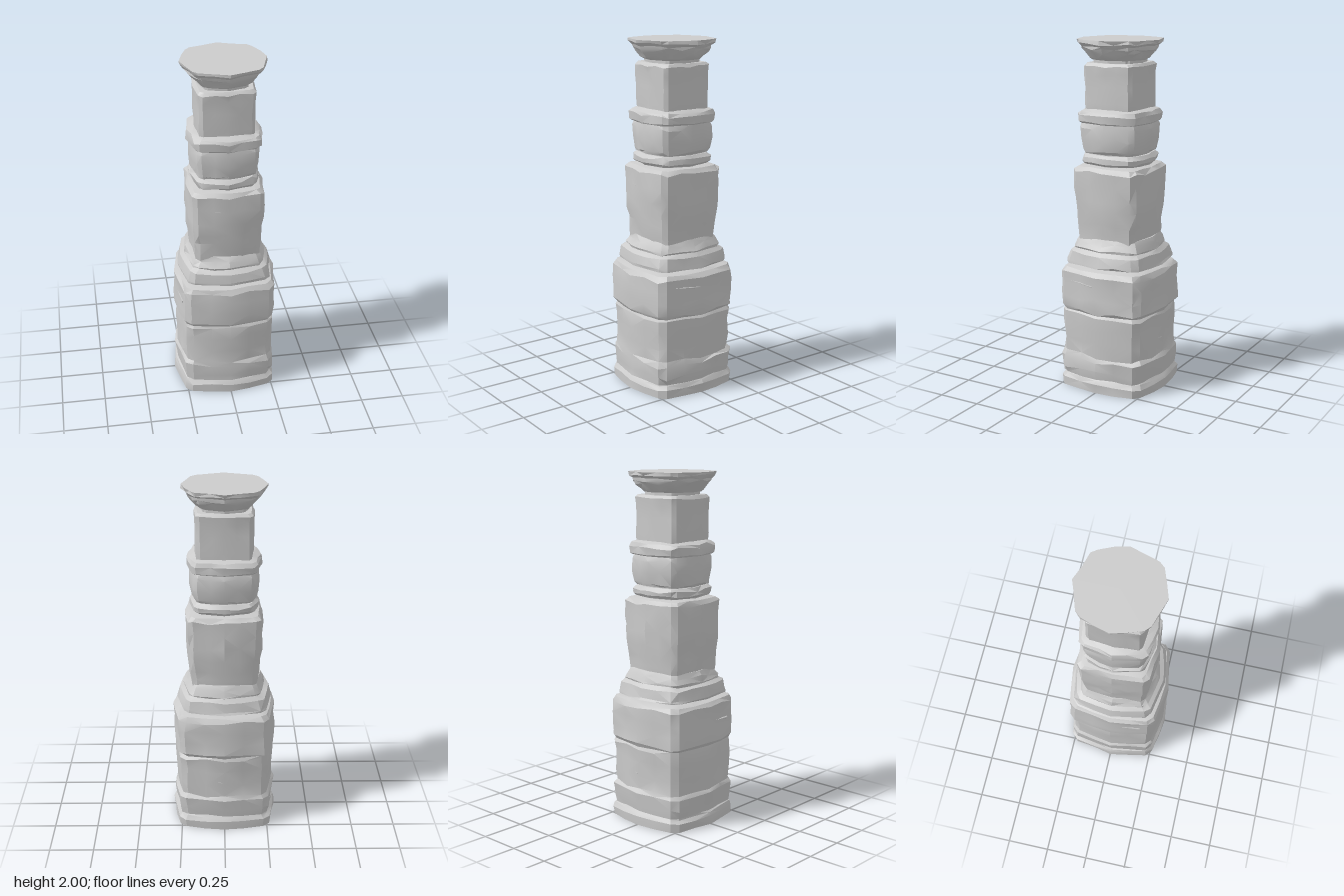
import * as THREE from 'three';
import { toCreasedNormals } from 'three/addons/utils/BufferGeometryUtils.js';

// Small seeded noise in the range -1..1
let seed = 7;
const noise = () => {
  seed = (seed * 16807) % 2147483647;
  return (seed / 2147483647) * 2 - 1;
};

const material = new THREE.MeshStandardMaterial({ color: 0xcccccc });

// Square outline with bowed faces and cut corners; k sets how far the corners reach
function outline(r, k) {
  const a = k + 0.04, b = k - 0.08;
  const quarter = [[1, 0], [1 + (a - 1) * 0.45, b * 0.5], [a, b], [b, a], [1 + (a - 1) * 0.45, b * 0.5].reverse()];
  const points = [];
  for (let q = 0; q < 4; q++) {
    for (const [u, v] of quarter) {
      const [x, z] = [[u, v], [-v, u], [-u, -v], [v, -u]][q];
      points.push([x * r, z * r]);
    }
  }
  return points;
}

// Closed, worn stone block lofted through rings of [y, radius]
function stone(name, k, rings, wear = 0.006) {
  const pos = [], index = [], n = 20, last = rings.length - 1;
  rings.forEach(([y, r], i) => {
    const end = i === 0 || i === last;
    const gap = Math.min(
      i > 0 ? y - rings[i - 1][0] : 1,
      i < last ? rings[i + 1][0] - y : 1
    );
    const lift = end ? 0 : Math.min(0.014, gap * 0.4);
    for (const [x, z] of outline(r, k)) {
      const s = 1 + (noise() * wear) / r;
      pos.push(x * s, y + noise() * lift, z * s);
    }
  });
  for (let i = 0; i < last; i++) {
    for (let j = 0; j < n; j++) {
      const a = i * n + j, b = i * n + (j + 1) % n, c = a + n, d = b + n;
      if ((i + j) % 2) index.push(a, c, b, b, c, d);
      else index.push(a, c, d, a, d, b);
    }
  }
  // End caps
  const bottom = pos.length / 3, top = bottom + 1;
  pos.push(0, rings[0][0], 0, 0, rings[last][0], 0);
  for (let j = 0; j < n; j++) {
    const m = (j + 1) % n;
    index.push(bottom, j, m, top, last * n + m, last * n + j);
  }
  const geometry = new THREE.BufferGeometry();
  geometry.setAttribute('position', new THREE.Float32BufferAttribute(pos, 3));
  geometry.setIndex(index);
  const mesh = new THREE.Mesh(toCreasedNormals(geometry, 0.4), material);
  mesh.name = name;
  return mesh;
}

export function createModel() {
  const pillar = new THREE.Group();
  pillar.name = 'weatheredPillar';
  pillar.add(
    // Wide plinth and the two big lower blocks
    stone('basePlinth', 0.83, [[0, 0.3], [0.05, 0.302], [0.07, 0.29], [0.085, 0.278]], 0.005),
    stone('baseBlock', 0.84, [[0.075, 0.283], [0.12, 0.291], [0.185, 0.294], [0.21, 0.28], [0.29, 0.281],
      [0.38, 0.284], [0.45, 0.286], [0.468, 0.276]]),
    stone('lowerBlock', 0.84, [[0.465, 0.282], [0.485, 0.295], [0.55, 0.295], [0.62, 0.294], [0.69, 0.293],
      [0.715, 0.277], [0.725, 0.24]]),
    // Sloping moulding between the lower blocks and the shaft
    stone('lowerNeck', 0.8, [[0.71, 0.235], [0.75, 0.235]], 0.003),
    stone('lowerMoulding', 0.82, [[0.736, 0.272], [0.75, 0.271], [0.805, 0.258], [0.82, 0.232], [0.832, 0.237],
      [0.86, 0.22], [0.89, 0.205]], 0.005),
    // Middle shaft, widening upward
    stone('middleShaft', 0.86, [[0.86, 0.2], [0.91, 0.204], [0.97, 0.207], [1.04, 0.216], [1.11, 0.222],
      [1.19, 0.222], [1.27, 0.221], [1.295, 0.203], [1.303, 0.16]]),
    // Thin ring stone
    stone('middleNeck', 0.8, [[1.28, 0.17], [1.39, 0.17]], 0.003),
    stone('middleRing', 0.8, [[1.307, 0.185], [1.32, 0.198], [1.345, 0.198], [1.365, 0.18]], 0.006),
    // Upper block and its collar
    stone('upperBlock', 0.82, [[1.37, 0.178], [1.385, 0.188], [1.45, 0.198], [1.51, 0.196], [1.55, 0.188]]),
    stone('upperCollar', 0.82, [[1.54, 0.2], [1.55, 0.21], [1.59, 0.212], [1.607, 0.2], [1.62, 0.168]], 0.005),
    stone('upperShaft', 0.9, [[1.6, 0.16], [1.66, 0.163], [1.74, 0.162], [1.81, 0.164], [1.855, 0.166], [1.872, 0.152]], 0.003),
    // Flared, rounded capital
    stone('capitalNeck', 0.78, [[1.85, 0.142], [1.91, 0.142]], 0.003),
    stone('capital', 0.74, [[1.888, 0.155], [1.9, 0.172], [1.93, 0.198], [1.95, 0.212], [1.965, 0.216],
      [1.982, 0.236], [2, 0.238]], 0.005)
  );

  // Thin raised flakes on the faces: [face quarter turns, side offset, y, face distance, length]
  const flakes = [[0, -0.12, 0.555, 0.287, 0.16], [0, -0.09, 1.265, 0.214, 0.16], [0, -0.11, 1.19, 0.215, 0.12],
    [1, -0.1, 0.64, 0.288, 0.17], [1, 0.1, 1.03, 0.206, 0.1], [2, 0.1, 1.2, 0.214, 0.14],
    [2, -0.08, 0.31, 0.276, 0.14], [3, 0.1, 0.6, 0.287, 0.16]];
  for (const [turns, side, y, distance, length] of flakes) {
    const holder = new THREE.Group();
    holder.name = 'stoneFlake';
    const flake = new THREE.Mesh(new THREE.ConeGeometry(0.008, length, 4).rotateZ(Math.PI / 2 - 0.08), material);
    flake.name = 'flake';
    flake.position.set(side, y, distance - Math.abs(side) * 0.12);
    flake.rotation.y = Math.sign(side) * 0.14;
    holder.rotation.y = (turns * Math.PI) / 2;
    holder.add(flake);
    pillar.add(holder);
  }
  return pillar;
}
